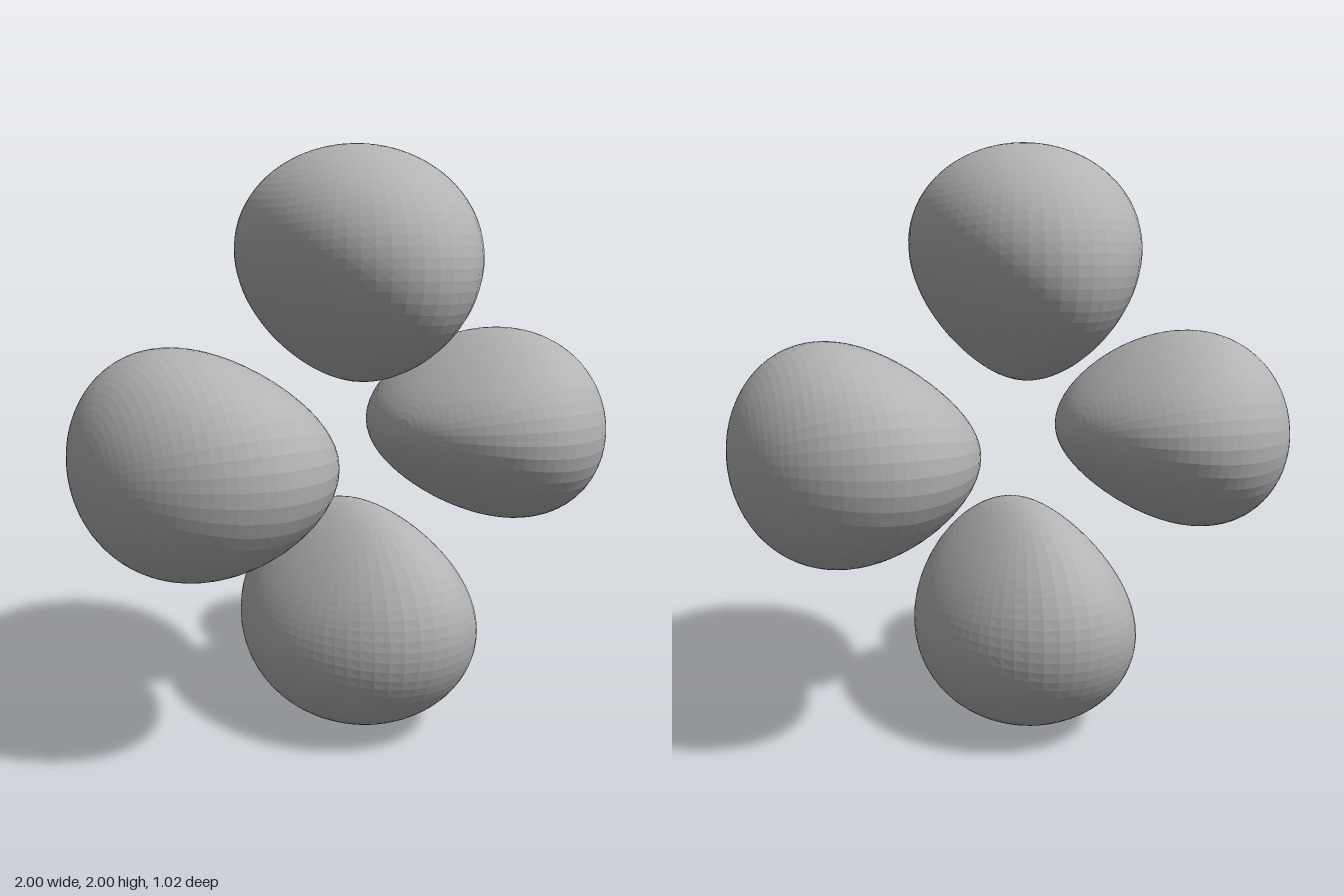
import * as THREE from 'three';

// Four-lobed level surface of (y² - x²) · exp(-K r^P), one lobe on each arm of a cross
const K = 3.494, P = 1.45, LEVEL = Math.exp(-K);
const LOBE_CENTRE = 0.6;

function insideLobe(x, y, z) {
  const r = Math.hypot(x, y, z);
  return y > 0 && (y * y - x * x) * Math.exp(-K * Math.pow(r, P)) > LEVEL;
}

// Pushes each point of a sphere out from the lobe's middle until it meets the surface
function makeLobeGeometry() {
  const geometry = new THREE.SphereGeometry(1, 64, 44);
  const position = geometry.attributes.position;
  const dir = new THREE.Vector3();
  for (let i = 0; i < position.count; i++) {
    dir.fromBufferAttribute(position, i).normalize();
    let near = 0, far = 1;
    for (let step = 0; step < 30; step++) {
      const t = (near + far) / 2;
      if (insideLobe(dir.x * t, LOBE_CENTRE + dir.y * t, dir.z * t)) near = t;
      else far = t;
    }
    position.setXYZ(i, dir.x * near, LOBE_CENTRE + dir.y * near, dir.z * near);
  }
  geometry.computeVertexNormals();
  return geometry;
}

export function createModel() {
  const model = new THREE.Group();
  model.name = 'fourLobes';

  const grey = new THREE.MeshStandardMaterial({ color: 0xb3b3b3, flatShading: true });
  grey.name = 'grey';

  // The same lobe turned to each arm of the cross
  const geometry = makeLobeGeometry();
  ['topLobe', 'rightLobe', 'bottomLobe', 'leftLobe'].forEach((name, i) => {
    const lobe = new THREE.Mesh(geometry, grey);
    lobe.name = name;
    lobe.rotation.z = i * Math.PI / 2;
    lobe.position.y = 1;
    model.add(lobe);
  });
  return model;
}
